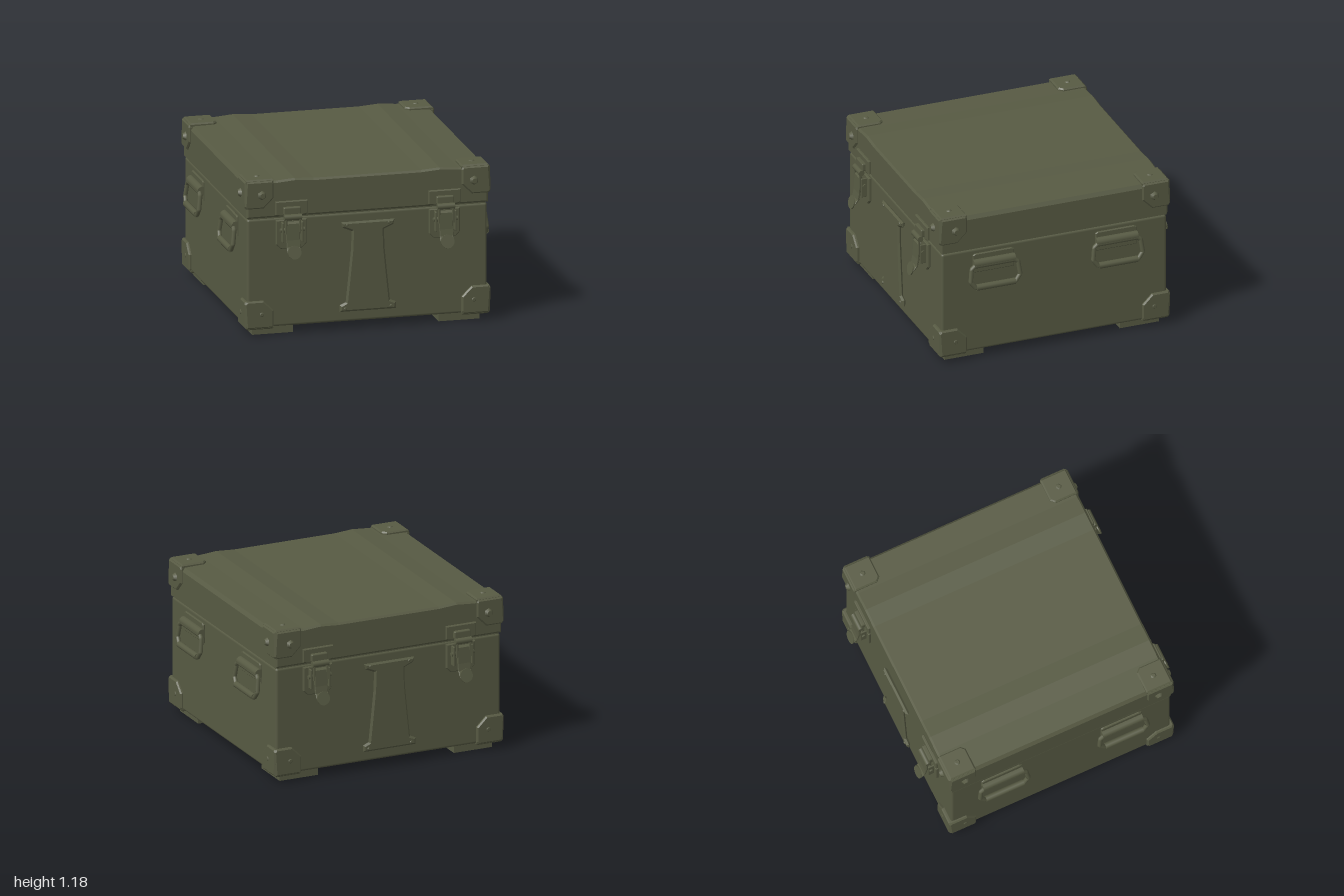
import * as THREE from 'three';
import { RoundedBoxGeometry } from 'three/addons/geometries/RoundedBoxGeometry.js';

const olive = new THREE.MeshStandardMaterial({ color: 0x575a43 });
olive.name = 'olive paint';

function add(parent, name, geometry, x = 0, y = 0, z = 0) {
  const mesh = new THREE.Mesh(geometry, olive);
  mesh.name = name;
  mesh.position.set(x, y, z);
  parent.add(mesh);
  return mesh;
}

function group(parent, name) {
  const g = new THREE.Group();
  g.name = name;
  parent.add(g);
  return g;
}

// Extrudes an outline along +z from 0 to depth, with bevelled front and back rims
function plate(points, depth, bevel = 0.006) {
  const shape = new THREE.Shape(points.map(([x, y]) => new THREE.Vector2(x, y)));
  const geo = new THREE.ExtrudeGeometry(shape, {
    depth: depth - 2 * bevel, bevelEnabled: true, bevelThickness: bevel,
    bevelSize: bevel, bevelOffset: -bevel, bevelSegments: 1,
  });
  return geo.translate(0, 0, bevel);
}

// Hexagonal bolt head pointing along +z
function bolt(r, h) {
  return new THREE.CylinderGeometry(r * 0.55, r, h, 6).rotateX(Math.PI / 2);
}

// Three-sided corner guard; its outer corner is at the origin, the rest lies on the negative side
function cornerGuard(parent, name, domed) {
  const g = group(parent, name);
  const s = 0.215, c = 0.075, e = 0.012;
  const side = [[-e, -e], [-s + 0.01, -e], [-s, -0.03], [-s, -s + c], [-s + c, -s], [-0.015, -s], [0, -s + 0.02]];
  const cap = [[-e, -e], [-s, -e], [-s, -s + 0.03], [-s + 0.03, -s], [-e, -s]];
  add(g, 'frontGuardPlate', plate(side, 0.035, 0.01), 0, 0, -0.035);
  const flank = plate(side.map(([x, y]) => [-x, y]).reverse(), 0.035, 0.01);
  add(g, 'sideGuardPlate', flank.rotateY(Math.PI / 2), -0.035, 0, 0);
  const top = plate(cap.map(([x, y]) => [x, -y]).reverse(), 0.035, 0.01);
  add(g, 'capGuardPlate', top.rotateX(-Math.PI / 2), 0, -0.035, 0);
  const r = domed ? 0.036 : 0.022, h = domed ? 0.026 : 0.008;
  add(g, 'frontBolt', bolt(r, h), -0.125, -0.115, h / 2 - 0.003);
  add(g, 'sideBolt', bolt(r, h).rotateY(Math.PI / 2), h / 2 - 0.003, -0.115, -0.125);
  add(g, 'capBolt', bolt(0.026, 0.01).rotateX(-Math.PI / 2), -0.115, 0.002, -0.115);
  return g;
}

// Toggle latch on a wall facing +z, origin on the wall at ground height
function latch(parent, x) {
  const g = group(parent, 'latch');
  g.position.x = x;
  add(g, 'strikePlate', plate([[-0.12, 1.0], [-0.12, 0.9], [-0.07, 0.89], [0.07, 0.89], [0.12, 0.9], [0.12, 1.0]], 0.024), 0, 0, 0);
  add(g, 'basePlate', plate([[-0.115, 0.86], [-0.115, 0.68], [-0.08, 0.645], [0.08, 0.645], [0.115, 0.68], [0.115, 0.86]], 0.024), 0, 0, -0.005);
  add(g, 'hookBlock', new RoundedBoxGeometry(0.13, 0.06, 0.05, 1, 0.01), 0, 0.93, 0.025);
  add(g, 'hookRoller', new THREE.CylinderGeometry(0.022, 0.022, 0.13, 10).rotateZ(Math.PI / 2), 0, 0.888, 0.055);
  add(g, 'hingePin', new THREE.CylinderGeometry(0.016, 0.016, 0.18, 8).rotateZ(Math.PI / 2), 0, 0.79, 0.04);
  for (const s of [-1, 1]) {
    add(g, 'latchCheek', new RoundedBoxGeometry(0.014, 0.15, 0.055, 1, 0.005), s * 0.072, 0.775, 0.035);
    add(g, 'pullLink', new THREE.CylinderGeometry(0.009, 0.009, 0.13, 6), s * 0.052, 0.83, 0.062);
  }
  // Lever: a bent strip with a rounded tongue at its lower end
  const lever = [[0.05, 0.855], [0.066, 0.84], [0.073, 0.72], [0.082, 0.67], [0.112, 0.63],
    [0.1, 0.63], [0.068, 0.665], [0.058, 0.71], [0.04, 0.84]];
  add(g, 'lever', plate(lever.reverse(), 0.1, 0.003).rotateY(-Math.PI / 2), 0.05, 0, 0);
  const tongue = new THREE.CylinderGeometry(0.05, 0.05, 0.009, 16).rotateX(Math.PI / 2 - 0.25);
  add(g, 'leverTongue', tongue, 0, 0.637, 0.108);
}

// Drop handle on a wall facing +z, centred on local x = 0
function handle(parent, x) {
  const g = group(parent, 'handle');
  g.position.x = x;
  add(g, 'handlePlate', plate([[-0.16, 0.83], [-0.16, 0.69], [0.16, 0.69], [0.16, 0.83], [0.14, 0.84], [-0.14, 0.84]].reverse(), 0.018), 0, 0, -0.004);
  add(g, 'handleBarrel', new THREE.CylinderGeometry(0.035, 0.035, 0.32, 12).rotateZ(Math.PI / 2), 0, 0.765, 0.018);
  // Ring of straight runs with cut corners, leaning away from the wall
  const outline = [[-0.155, 0.755], [-0.18, 0.735], [-0.192, 0.64], [-0.155, 0.59],
    [0.155, 0.59], [0.192, 0.64], [0.18, 0.735], [0.155, 0.755]];
  const pts = outline.map(([u, v]) => new THREE.Vector3(u, v, 0.036 + (0.755 - v) * 0.12));
  const path = new THREE.CurvePath();
  pts.forEach((p, i) => path.add(new THREE.LineCurve3(p, pts[(i + 1) % pts.length])));
  add(g, 'handleRing', new THREE.TubeGeometry(path, 96, 0.017, 8, true));
  add(g, 'handleGrip', new THREE.CylinderGeometry(0.024, 0.024, 0.3, 10).rotateZ(Math.PI / 2), 0, 0.592, 0.056);
}

// Waisted raised panel between the latches
function centrePanel(parent) {
  const g = group(parent, 'centrePanel');
  const half = [[0.21, 0.14], [0.21, 0.19], [0.165, 0.21], [0.145, 0.4], [0.125, 0.6], [0.12, 0.74], [0.19, 0.77], [0.2, 0.81]];
  const outline = [...half, ...half.map(([x, y]) => [-x, y]).reverse()];
  add(g, 'panelFace', plate(outline, 0.03, 0.014), 0, 0, -0.004);
  for (const s of [-1, 1]) {
    add(g, 'panelRivet', bolt(0.014, 0.01), s * 0.17, 0.165, 0.028);
    add(g, 'panelRivet', bolt(0.014, 0.01), s * 0.155, 0.79, 0.028);
  }
}

export function createModel() {
  const model = new THREE.Group();
  model.name = 'storageCase';

  add(model, 'body', new RoundedBoxGeometry(1.79, 0.815, 1.745, 2, 0.02), 0, 0.4675, 0);
  add(model, 'seam', new THREE.BoxGeometry(1.77, 0.04, 1.73), 0, 0.875, 0);

  // Lid with two shallow ribs running front to back
  const rightHalf = [[0.9, 0.88], [0.9, 1.12], [0.88, 1.148], [0.68, 1.152], [0.54, 1.163], [0.4, 1.153]];
  const lid = [...rightHalf, ...rightHalf.map(([x, y]) => [-x, y]).reverse()];
  add(model, 'lid', plate(lid, 1.765, 0.014), 0, 0, -0.8825);

  // Corner guards, top and bottom
  const turns = [[1, 1, 0], [1, -1, 1], [-1, -1, 2], [-1, 1, 3]];
  for (const [sx, sz, k] of turns) {
    const upper = cornerGuard(model, 'lidCorner', true);
    upper.position.set(sx * 0.915, 1.17, sz * 0.895);
    upper.rotation.y = k * Math.PI / 2;

    const lower = group(model, 'baseCorner');
    lower.position.set(sx * 0.915, 0.048, sz * 0.895);
    lower.rotation.y = (k - 1) * Math.PI / 2;
    cornerGuard(lower, 'baseGuard', false).rotation.x = Math.PI;

    add(model, 'foot', new THREE.BoxGeometry(0.305, 0.065, 0.305), sx * 0.695, 0.0325, sz * 0.68);
  }

  // Front and back fittings
  for (const angle of [0, Math.PI]) {
    const wall = group(model, angle ? 'backFittings' : 'frontFittings');
    wall.rotation.y = angle;
    wall.position.z = Math.cos(angle) * 0.877;
    latch(wall, -0.57);
    latch(wall, 0.57);
    centrePanel(wall);
  }

  // Handles on both flanks
  for (const s of [-1, 1]) {
    const wall = group(model, s > 0 ? 'leftHandles' : 'rightHandles');
    wall.rotation.y = s * Math.PI / 2;
    wall.position.x = s * 0.895;
    handle(wall, -0.475);
    handle(wall, 0.475);
  }
  return model;
}
